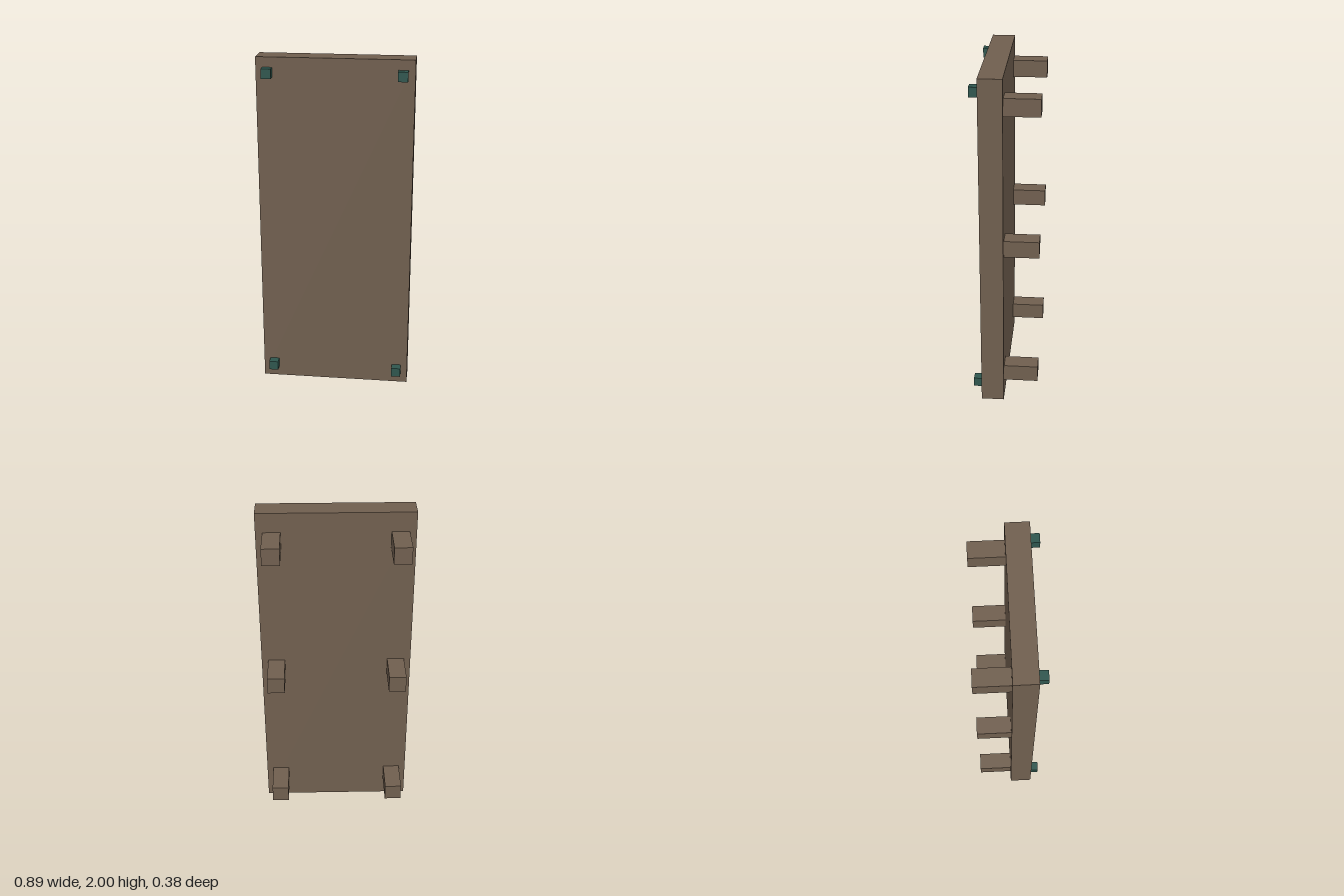
import * as THREE from 'three';

export function createModel() {
  const model = new THREE.Group();
  const wood = new THREE.MeshStandardMaterial({ color: 0x705f4f });
  const teal = new THREE.MeshStandardMaterial({ color: 0x2f564e });

  const addBox = (name, size, position, material) => {
    const mesh = new THREE.Mesh(new THREE.BoxGeometry(...size), material);
    mesh.name = name;
    mesh.position.set(...position);
    model.add(mesh);
  };

  // Upright board
  addBox('panel', [0.888, 2, 0.133], [0, 1, 0.0735], wood);

  for (const [side, label] of [[1, 'left'], [-1, 'right']]) {
    // Three pegs up each side of the back
    ['Lower', 'Middle', 'Upper'].forEach((level, i) =>
      addBox(`${label}${level}Peg`, [0.1, 0.1, 0.2], [side * 0.355, 0.168 + i * 0.834, -0.093], wood));

    // Small studs in the front corners
    ['Lower', 'Upper'].forEach((level, i) =>
      addBox(`${label}${level}Stud`, [0.055, 0.055, 0.05], [side * 0.378, 0.09 + i * 1.825, 0.165], teal));
  }

  return model;
}
